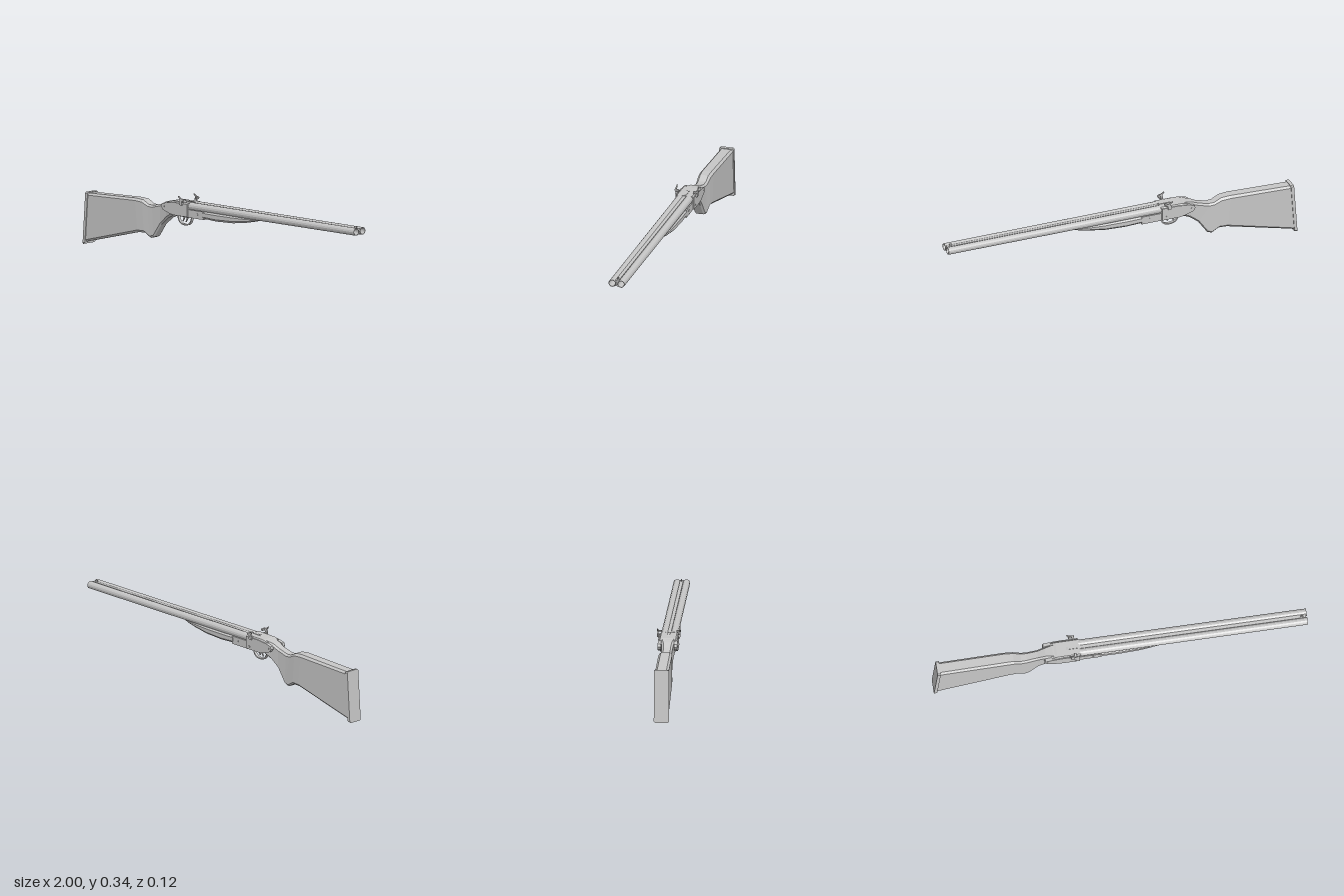
import * as THREE from 'three';

const grey = new THREE.MeshStandardMaterial({ color: 0xc6c6c6 });
grey.name = 'plain grey';

export function createModel() {
  const root = new THREE.Group();
  root.name = 'doubleBarrelLongGun';

  function add(name, geometry, x = 0, y = 0, z = 0) {
    const flat = geometry.index ? geometry.toNonIndexed() : geometry;
    flat.computeVertexNormals();
    const mesh = new THREE.Mesh(flat, grey);
    mesh.name = name;
    mesh.position.set(x, y, z);
    root.add(mesh);
    return mesh;
  }

  const box = (name, x0, x1, y0, y1, z0, z1) =>
    add(name, new THREE.BoxGeometry(x1 - x0, y1 - y0, z1 - z0), (x0 + x1) / 2, (y0 + y1) / 2, (z0 + z1) / 2);

  // Side profile extruded across z, with an optional bevel
  function plate(name, points, z0, z1, bevel = 0) {
    const shape = new THREE.Shape(points.map(([x, y]) => new THREE.Vector2(x, y)));
    const geometry = new THREE.ExtrudeGeometry(shape, {
      depth: z1 - z0 - 2 * bevel, bevelEnabled: bevel > 0, bevelSize: bevel,
      bevelThickness: bevel, bevelOffset: -bevel, bevelSegments: 1,
    });
    return add(name, geometry, 0, 0, z0 + bevel);
  }

  // Chamfered cross-sections: [topX, topY, bottomX, bottomY, halfWidth, chamfer]
  function loft(name, sections) {
    const rings = sections.map(([xt, yt, xb, yb, w, c]) => {
      const at = (y, z) => new THREE.Vector3(xb + (xt - xb) * (y - yb) / (yt - yb), y, z);
      return [at(yt, w - c), at(yt - c, w), at(yb + c, w), at(yb, w - c),
        at(yb, c - w), at(yb + c, -w), at(yt - c, -w), at(yt, c - w)];
    });
    const pos = [];
    const tri = (...corners) => corners.forEach((p) => pos.push(p.x, p.y, p.z));
    for (let i = 0; i < rings.length - 1; i++) {
      for (let j = 0; j < 8; j++) {
        const k = (j + 1) % 8;
        tri(rings[i][j], rings[i][k], rings[i + 1][j]);
        tri(rings[i][k], rings[i + 1][k], rings[i + 1][j]);
      }
    }
    const first = rings[0], last = rings[rings.length - 1];
    for (let j = 1; j < 7; j++) {
      tri(first[0], first[j + 1], first[j]);
      tri(last[0], last[j], last[j + 1]);
    }
    const geometry = new THREE.BufferGeometry();
    geometry.setAttribute('position', new THREE.Float32BufferAttribute(pos, 3));
    return add(name, geometry);
  }

  // Butt plate and stock with its grip
  loft('buttPlate', [
    [-0.98, 0.282, -1, 0, 0.04, 0.006],
    [-0.963, 0.28, -0.983, 0.004, 0.04, 0.006],
  ]);
  loft('stock', [
    [-0.965, 0.276, -0.985, 0.013, 0.036, 0.011],
    [-0.62, 0.288, -0.60, 0.108, 0.036, 0.012],
    [-0.57, 0.284, -0.555, 0.109, 0.034, 0.012],
    [-0.53, 0.264, -0.515, 0.086, 0.031, 0.01],
    [-0.50, 0.262, -0.49, 0.094, 0.029, 0.01],
    [-0.44, 0.277, -0.44, 0.165, 0.028, 0.01],
    [-0.40, 0.295, -0.39, 0.205, 0.032, 0.01],
    [-0.36, 0.304, -0.33, 0.234, 0.042, 0.012],
    [-0.28, 0.304, -0.28, 0.23, 0.043, 0.012],
  ]);

  // Receiver block and the iron below the breech
  plate('receiver', [
    [-0.37, 0.25], [-0.33, 0.232], [-0.215, 0.228], [-0.215, 0.309], [-0.34, 0.307], [-0.37, 0.299],
  ], -0.048, 0.048, 0.007);
  box('foreIron', -0.22, -0.105, 0.231, 0.274, -0.045, 0.045);
  plate('topLever', [
    [-0.29, 0.305], [-0.22, 0.305], [-0.22, 0.311], [-0.28, 0.311],
  ], -0.007, 0.007);

  // Lock plates, screws and hammers, mirrored left and right
  for (const s of [1, -1]) {
    const span = (a, b) => (s > 0 ? [a, b] : [-b, -a]);
    plate('lockPlate', [
      [-0.41, 0.272], [-0.40, 0.256], [-0.35, 0.239], [-0.32, 0.234], [-0.22, 0.234],
      [-0.22, 0.302], [-0.31, 0.302], [-0.37, 0.296], [-0.405, 0.287],
    ], ...span(0.034, 0.052));
    for (const [x, y, z] of [[-0.39, 0.273, 0.0525], [-0.245, 0.25, 0.0525], [-0.15, 0.255, 0.0455]]) {
      const screw = add('screw', new THREE.CylinderGeometry(0.005, 0.005, 0.003, 10), x, y, s * z);
      screw.rotation.x = Math.PI / 2;
    }
    plate('hammer', [
      [-0.268, 0.295], [-0.25, 0.295], [-0.252, 0.314], [-0.236, 0.322], [-0.24, 0.328],
      [-0.258, 0.331], [-0.274, 0.342], [-0.278, 0.339], [-0.264, 0.325], [-0.27, 0.31],
    ], ...span(0.056, 0.062));
    box('hammerPivot', -0.267, -0.251, 0.292, 0.308, ...span(0.047, 0.058));
    box('hammerNose', -0.25, -0.238, 0.317, 0.326, ...span(0.039, 0.06));
  }

  // Fore-end, narrowing and rising towards its tip
  loft('foreEnd', [
    [-0.112, 0.276, -0.112, 0.236, 0.046, 0.01],
    [-0.02, 0.276, -0.02, 0.231, 0.046, 0.011],
    [0.10, 0.276, 0.10, 0.235, 0.043, 0.011],
    [0.19, 0.275, 0.19, 0.247, 0.036, 0.009],
    [0.245, 0.274, 0.245, 0.258, 0.03, 0.005],
    [0.27, 0.273, 0.27, 0.266, 0.027, 0.003],
  ]);

  // Hollow barrels with breech collars
  for (const z of [0.0245, -0.0245]) {
    const profile = [[0, -0.22], [0.021, -0.22], [0.0205, 0.3], [0.02, 1], [0.017, 1], [0.0165, 0.6], [0, 0.6]]
      .map(([r, h]) => new THREE.Vector2(r, h));
    const barrel = add('barrel', new THREE.LatheGeometry(profile, 14), 0, 0.29, z);
    barrel.rotation.z = -Math.PI / 2;
  }

  // Ribs joining the barrels and the front bead
  box('topRib', -0.22, 0.995, 0.297, 0.306, -0.009, 0.009);
  box('middleRib', -0.22, 0.99, 0.285, 0.294, -0.007, 0.007);
  box('lowerRib', -0.22, 0.99, 0.272, 0.281, -0.01, 0.01);
  box('frontSight', 0.965, 0.98, 0.305, 0.316, -0.0025, 0.0025);

  // Trigger guard as a bowed strip
  const bow = new THREE.CatmullRomCurve3([
    [-0.335, 0.236], [-0.328, 0.205], [-0.31, 0.184], [-0.275, 0.178], [-0.245, 0.187], [-0.23, 0.21], [-0.227, 0.236],
  ].map(([x, y]) => new THREE.Vector3(x, y, 0))).getPoints(14);
  const inner = bow.map((p) => [-0.281 + (p.x + 0.281) * 0.89, 0.236 + (p.y - 0.236) * 0.89]).reverse();
  plate('triggerGuard', [...bow.map((p) => [p.x, p.y]), ...inner], -0.008, 0.008);

  // Two curved triggers
  for (const [x, z] of [[-0.293, -0.004], [-0.262, 0.004]]) {
    plate('trigger', [
      [x - 0.006, 0.238], [x + 0.005, 0.238], [x + 0.003, 0.215], [x - 0.008, 0.196],
      [x - 0.012, 0.198], [x - 0.004, 0.215],
    ], z - 0.003, z + 0.003);
  }
  return root;
}
